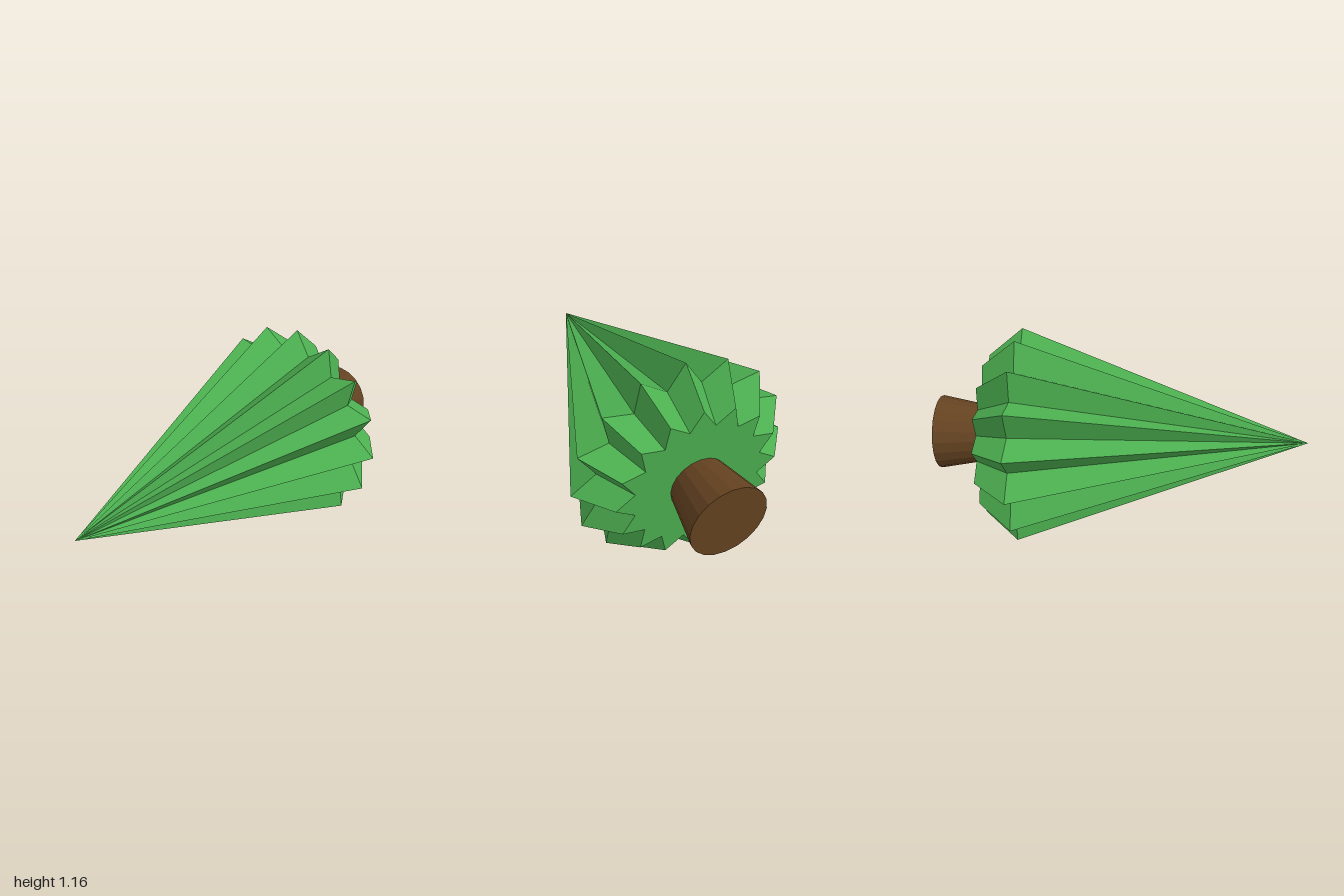
import * as THREE from 'three';

const POINTS = 16;        // pleats around the tree
const VALLEY = 0.787;     // valley radius relative to ridge radius
const CENTRE_Y = 0.58;

// Lathe a profile, then pull every second column inwards to form pleats.
function pleatedLathe(profile) {
  const geo = new THREE.LatheGeometry(profile.map(([r, y]) => new THREE.Vector2(r, y)), POINTS * 2);
  const pos = geo.attributes.position;
  for (let i = 0; i < pos.count; i++) {
    const column = Math.floor(i / profile.length);
    if (column % 2 === 1) pos.setXYZ(i, pos.getX(i) * VALLEY, pos.getY(i), pos.getZ(i) * VALLEY);
  }
  const flat = geo.toNonIndexed();
  flat.computeVertexNormals();
  return flat;
}

export function createModel() {
  const model = new THREE.Group();
  model.name = 'pleatedTree';

  const green = new THREE.MeshStandardMaterial({ color: 0x4caf50, flatShading: true });
  const brown = new THREE.MeshStandardMaterial({ color: 0x654321, flatShading: true });

  // Foliage: flat base, short flared rim, long taper to the tip at +z
  const foliage = new THREE.Mesh(
    pleatedLathe([[0, -0.73], [0.43, -0.73], [0.578, -0.55], [0, 1]]), green);
  foliage.name = 'foliage';

  // Trunk: flares out towards the back
  const trunk = new THREE.Mesh(new THREE.CylinderGeometry(0.15, 0.2, 0.27, 20), brown);
  trunk.name = 'trunk';
  trunk.position.y = -0.865;

  // Lay the tree down so that its axis runs along z
  const tree = new THREE.Group();
  tree.name = 'tree';
  tree.add(foliage, trunk);
  tree.rotation.x = Math.PI / 2;
  tree.position.y = CENTRE_Y;
  model.add(tree);
  return model;
}
